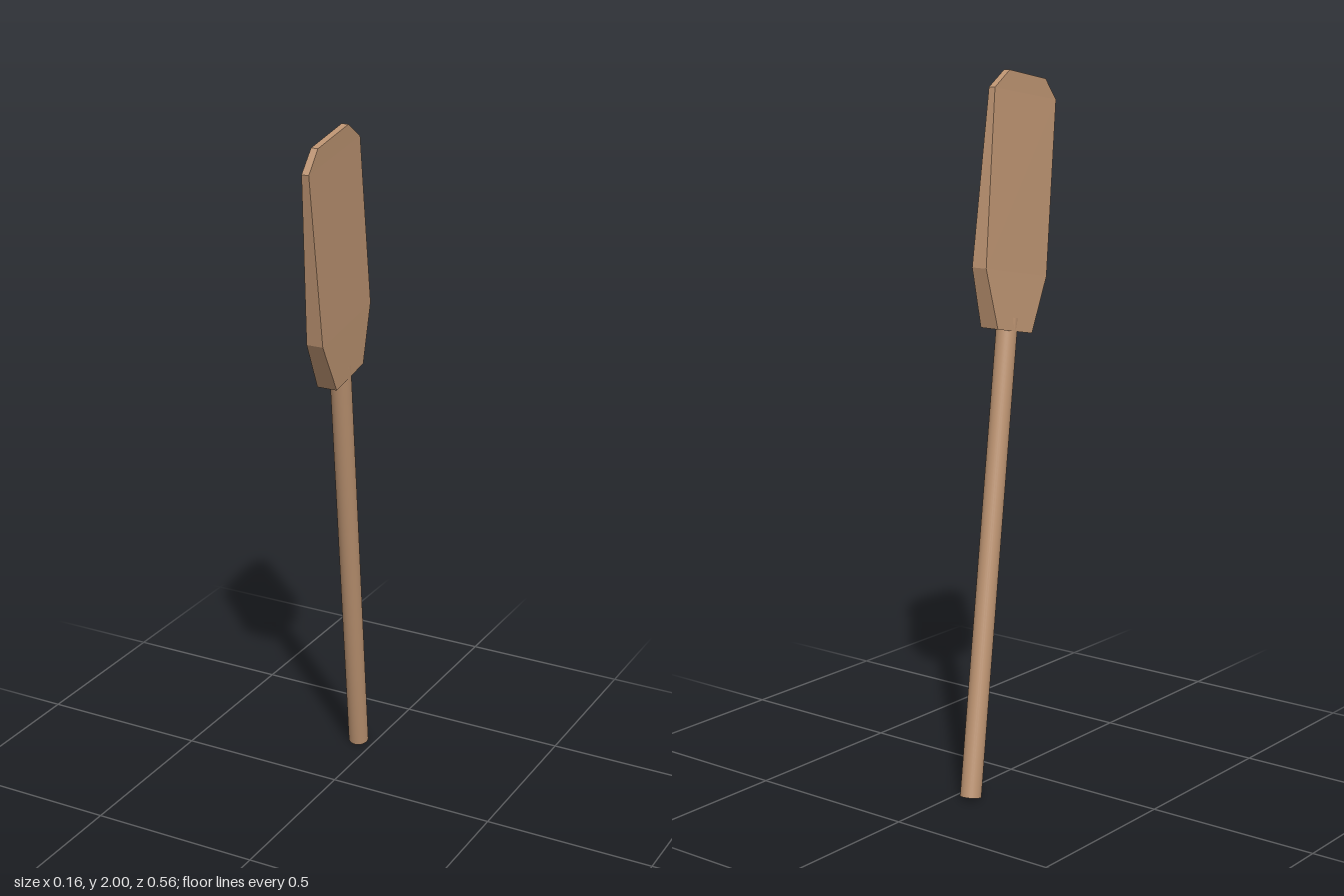
import * as THREE from 'three';

const wood = new THREE.MeshStandardMaterial({ color: 0xbd9472 });
wood.name = 'tan wood';

// Blade stations, bottom to top: rear edge (z, y), front edge (z, y), inner x, outer x
const STATIONS = [
  [-0.065, 1.30, 0.09, 1.27, -0.005, 0.055],
  [-0.095, 1.47, 0.18, 1.42, 0.012, 0.061],
  [0.0, 1.955, 0.28, 1.91, 0.055, 0.076],
  [0.07, 2.0, 0.235, 1.97, 0.058, 0.078],
];

// Wedge-shaped paddle blade lofted through four-cornered sections
function bladeGeometry() {
  const rings = STATIONS.map(([za, ya, zb, yb, x0, x1]) => [
    [x0, ya, za], [x1, ya, za], [x1, yb, zb], [x0, yb, zb],
  ]);
  const pos = [];
  const quad = (a, b, c, d) => [a, b, c, a, c, d].forEach((p) => pos.push(...p));
  for (let r = 0; r < rings.length - 1; r++) {
    const lo = rings[r], up = rings[r + 1];
    for (let i = 0; i < 4; i++) {
      const j = (i + 1) % 4;
      quad(lo[j], lo[i], up[i], up[j]);
    }
  }
  const bottom = rings[0], top = rings[rings.length - 1];
  quad(bottom[0], bottom[1], bottom[2], bottom[3]);
  quad(top[0], top[3], top[2], top[1]);
  const geometry = new THREE.BufferGeometry();
  geometry.setAttribute('position', new THREE.Float32BufferAttribute(pos, 3));
  geometry.computeVertexNormals();
  return geometry;
}

// Round rod between two points
function rod(from, to, radius) {
  const axis = to.clone().sub(from);
  const mesh = new THREE.Mesh(new THREE.CylinderGeometry(radius, radius, axis.length(), 32), wood);
  mesh.position.copy(from).add(to).multiplyScalar(0.5);
  mesh.quaternion.setFromUnitVectors(new THREE.Vector3(0, 1, 0), axis.normalize());
  return mesh;
}

export function createModel() {
  const group = new THREE.Group();
  group.name = 'paddle';

  // Leaning handle, its top end buried in the blade
  const handle = rod(
    new THREE.Vector3(-0.049, 0.006, -0.248),
    new THREE.Vector3(0.027, 1.32, 0.019),
    0.03,
  );
  handle.name = 'handle';

  const blade = new THREE.Mesh(bladeGeometry(), wood);
  blade.name = 'blade';

  group.add(handle, blade);
  return group;
}
